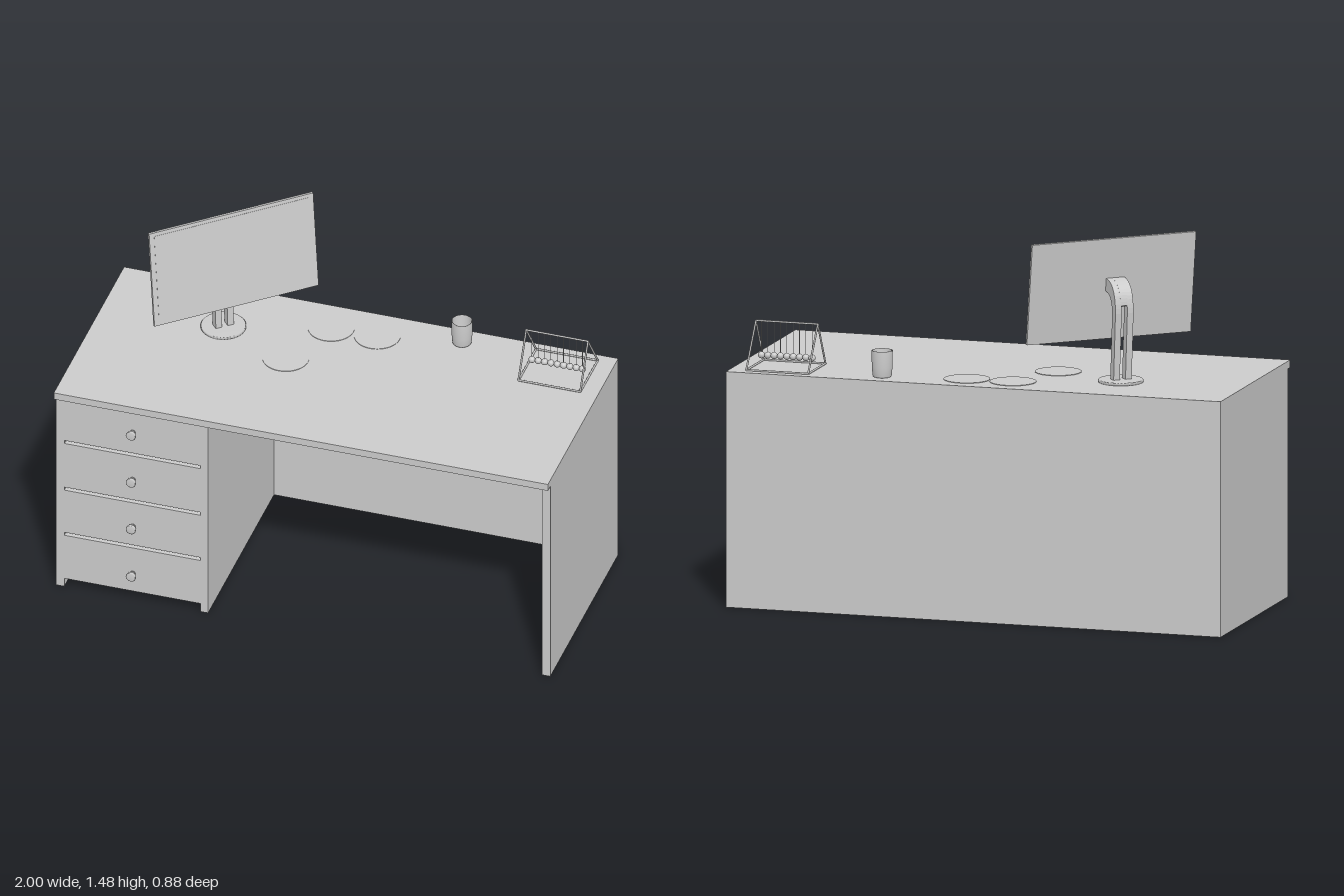
import * as THREE from 'three';

const grey = new THREE.MeshStandardMaterial({ color: 0xcccccc });
const greyDouble = new THREE.MeshStandardMaterial({ color: 0xcccccc, side: THREE.DoubleSide });

function add(parent, name, geometry, x = 0, y = 0, z = 0, material = grey) {
  const mesh = new THREE.Mesh(geometry, material);
  mesh.name = name;
  mesh.position.set(x, y, z);
  parent.add(mesh);
  return mesh;
}

// Box given by its limits on each axis
function slab(parent, name, [x0, x1], [y0, y1], [z0, z1]) {
  return add(parent, name, new THREE.BoxGeometry(x1 - x0, y1 - y0, z1 - z0),
    (x0 + x1) / 2, (y0 + y1) / 2, (z0 + z1) / 2);
}

// Thin round bar between two points
function rod(parent, name, a, b, radius) {
  const start = new THREE.Vector3(...a), end = new THREE.Vector3(...b);
  const dir = end.clone().sub(start);
  const mesh = add(parent, name, new THREE.CylinderGeometry(radius, radius, dir.length(), 8));
  mesh.position.copy(start).lerp(end, 0.5);
  mesh.quaternion.setFromUnitVectors(new THREE.Vector3(0, 1, 0), dir.normalize());
}

function lathe(points, segments = 32) {
  return new THREE.LatheGeometry(points.map(([r, y]) => new THREE.Vector2(r, y)), segments);
}

const TOP = 0.925;

function createDesk() {
  const desk = new THREE.Group();
  desk.name = 'desk';
  const height = [0, 0.895], depth = [-0.42, 0.41];
  slab(desk, 'deskTop', [-1, 1], [0.895, TOP], [-0.445, 0.44]);
  slab(desk, 'backPanel', [-1, 1], height, [-0.445, -0.42]);
  slab(desk, 'leftSidePanel', [0.967, 1], height, depth);
  slab(desk, 'rightSidePanel', [-1, -0.967], height, depth);
  slab(desk, 'drawerDivider', [-0.415, -0.385], height, depth);

  // Four drawer fronts with narrow gaps between them, each with a flared knob
  const bottoms = [0.037, 0.254, 0.467, 0.687], tops = [0.24, 0.453, 0.673, 0.895];
  const knobs = [0.12, 0.343, 0.563, 0.785];
  const knobShape = lathe([[0, 0], [0.011, 0], [0.012, 0.009], [0.019, 0.018], [0.02, 0.027], [0.017, 0.03], [0, 0.03]], 24);
  bottoms.forEach((y, i) => {
    slab(desk, 'drawerFront', [-0.967, -0.415], [y, tops[i]], [0.385, 0.409]);
    add(desk, 'drawerKnob', knobShape, -0.69, knobs[i], 0.409).rotation.x = Math.PI / 2;
  });
  return desk;
}

function createMonitor() {
  const monitor = new THREE.Group();
  monitor.name = 'monitor';
  monitor.position.set(-0.46, 0, -0.14);
  monitor.rotation.y = 0.724;

  // Tilted panel with a thin screen plate
  const panel = new THREE.Group();
  panel.name = 'monitorPanel';
  panel.position.y = 1.283;
  panel.rotation.x = -0.13;
  add(panel, 'monitorCase', new THREE.BoxGeometry(0.69, 0.405, 0.012));
  add(panel, 'screen', new THREE.BoxGeometry(0.65, 0.375, 0.002), 0, 0, 0.006);
  monitor.add(panel);

  // Round foot
  add(monitor, 'standBase', lathe([[0, 0], [0.088, 0], [0.088, 0.009], [0.085, 0.012], [0, 0.012]], 40), -0.013, TOP, -0.065);

  // Leaning neck, bent forward to the panel: two prongs joined by a bridge at the top
  const neck = new THREE.Shape();
  neck.moveTo(-0.05, 0.932);
  neck.lineTo(-0.068, 1.19);
  neck.quadraticCurveTo(-0.07, 1.27, -0.002, 1.275);
  neck.lineTo(-0.01, 1.325);
  neck.quadraticCurveTo(-0.1, 1.32, -0.1, 1.2);
  neck.lineTo(-0.082, 0.932);
  const bridge = new THREE.Shape();
  bridge.moveTo(-0.068, 1.22);
  bridge.quadraticCurveTo(-0.06, 1.27, -0.002, 1.275);
  bridge.lineTo(-0.01, 1.325);
  bridge.quadraticCurveTo(-0.09, 1.32, -0.098, 1.23);
  const pieces = [['neckProng', neck, 0.026, -0.025], ['neckProng', neck, 0.026, 0.025], ['neckBridge', bridge, 0.03, 0]];
  for (const [name, shape, width, x] of pieces) {
    const geometry = new THREE.ExtrudeGeometry(shape, { depth: width, bevelEnabled: false, curveSegments: 12 });
    geometry.translate(0, 0, -width / 2);
    geometry.rotateY(-Math.PI / 2);
    add(monitor, name, geometry, x - 0.013);
  }
  return monitor;
}

// Row of hanging balls in an A-frame stand
function createCradle() {
  const cradle = new THREE.Group();
  cradle.name = 'ballCradle';
  const left = 0.93, right = 0.68, front = -0.185, back = -0.405, ridge = -0.282;
  const foot = TOP + 0.003, peak = 1.1, r = 0.004;
  for (const x of [left, right]) {
    rod(cradle, 'cradleLeg', [x, foot, front], [x, peak, ridge], r);
    rod(cradle, 'cradleLeg', [x, foot, back], [x, peak, ridge], r);
    rod(cradle, 'cradleFoot', [x, foot, front], [x, foot, back], r);
  }
  rod(cradle, 'cradleRidge', [right, peak, ridge], [left, peak, ridge], r);
  for (const z of [front, back]) rod(cradle, 'cradleCrossbar', [right, foot, z], [left, foot, z], r);
  const ball = new THREE.SphereGeometry(0.0135, 16, 12);
  for (let i = 0; i < 9; i++) {
    const x = 0.703 + i * 0.0256;
    add(cradle, 'hangingBall', ball, x, 0.966, ridge);
    rod(cradle, 'ballString', [x, 0.975, ridge], [x, peak, ridge], 0.0012);
  }
  return cradle;
}

export function createModel() {
  const model = new THREE.Group();
  model.add(createDesk(), createMonitor(), createCradle());

  // Hollow cup
  const cup = lathe([[0, 0], [0.033, 0], [0.037, 0.006], [0.04, 0.04], [0.041, 0.104], [0.037, 0.104],
    [0.036, 0.04], [0.03, 0.015], [0, 0.008]]);
  add(model, 'cup', cup, 0.395, TOP, -0.36, greyDouble);

  // Thin round mats on the desk top
  const mat = new THREE.CylinderGeometry(0.09, 0.09, 0.002, 40);
  for (const [x, z] of [[-0.22, -0.055], [-0.115, -0.3], [0.07, -0.305]]) {
    add(model, 'roundMat', mat, x, TOP + 0.001, z);
  }
  return model;
}
